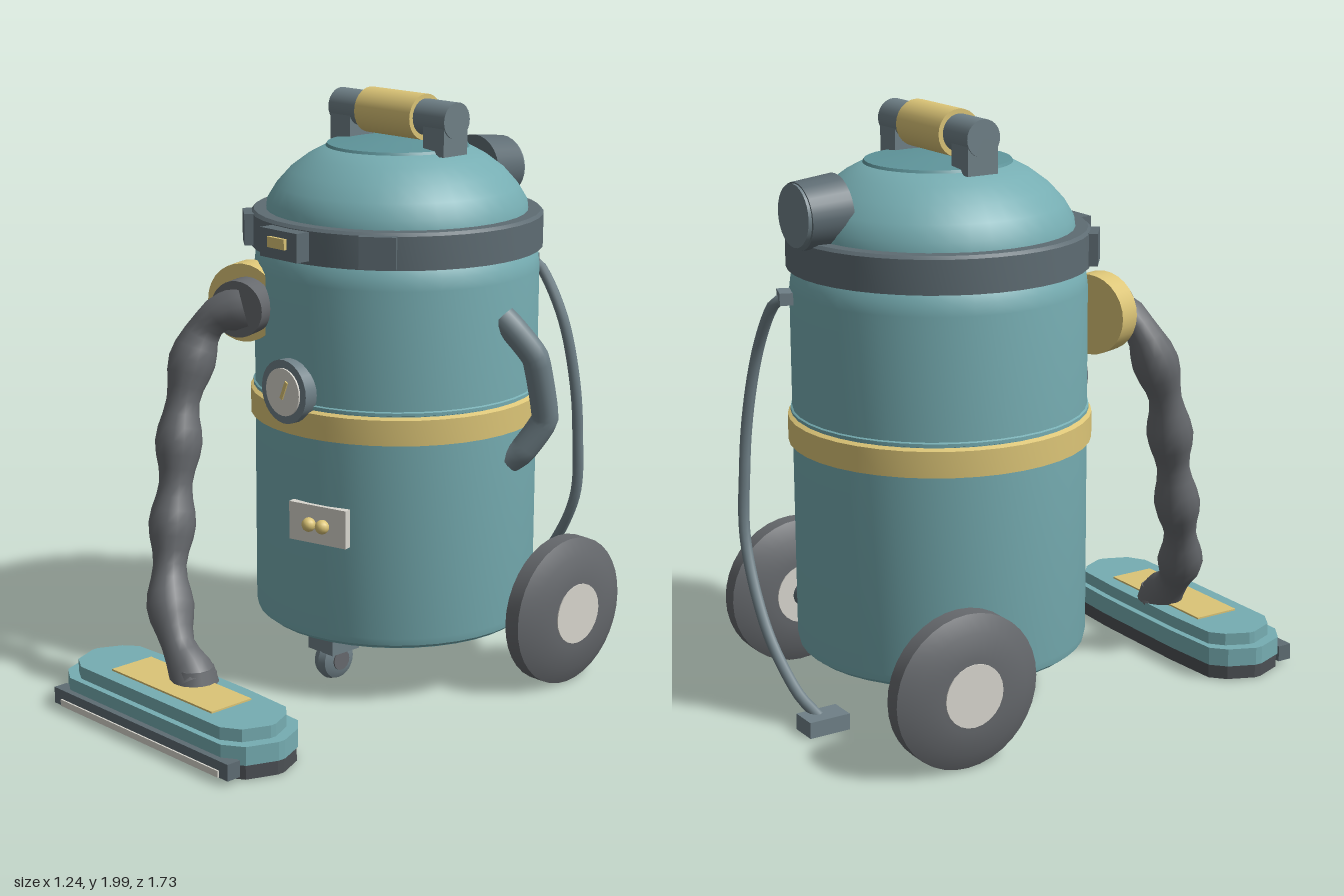
import * as THREE from 'three';
import { toCreasedNormals } from 'three/addons/utils/BufferGeometryUtils.js';

const mat = (color) => new THREE.MeshStandardMaterial({ color, side: THREE.DoubleSide });
const V = (x, y, z) => new THREE.Vector3(x, y, z);

export function createModel() {
  const model = new THREE.Group();
  const teal = mat(0x76adb2), deepTeal = mat(0x5f959b), gold = mat(0xdcc577), slate = mat(0x6f8087),
    rubber = mat(0x66696d), trim = mat(0x5e6c73), cream = mat(0xd8d6ce), dark = mat(0x4c5054);
  const CZ = -0.29; // z of the drum's axis

  const add = (name, geo, material, x = 0, y = 0, z = 0, parent = model) => {
    const m = new THREE.Mesh(geo, material);
    m.name = name;
    m.position.set(x, y, z);
    parent.add(m);
    return m;
  };
  const box = (name, w, h, d, material, x, y, z, parent) =>
    add(name, new THREE.BoxGeometry(w, h, d), material, x, y, z, parent);
  // Lathe from [radius, height] pairs listed bottom to top
  const lathe = (pts, seg = 40, crease = 0.5) => toCreasedNormals(
    new THREE.LatheGeometry(pts.map(([r, y]) => new THREE.Vector2(r, y)), seg), crease);
  const cylX = (r, len, seg = 24) => new THREE.CylinderGeometry(r, r, len, seg).rotateZ(Math.PI / 2);
  const cylZ = (r0, r1, len, seg = 28) => new THREE.CylinderGeometry(r1, r0, len, seg).rotateX(Math.PI / 2);
  const path = (pts, tension = 0.4) =>
    new THREE.CatmullRomCurve3(pts.map((p) => V(...p)), false, 'catmullrom', tension);
  const ball = (r) => new THREE.SphereGeometry(r, 14, 10);

  // Drum, belt, lid ring and dome
  add('drum', lathe([[0.455, 0.21], [0.475, 0.225], [0.48, 0.25], [0.48, 1.42], [0.475, 1.46], [0.46, 1.49]]), teal, 0, 0, CZ);
  add('drumBottom', new THREE.CylinderGeometry(0.456, 0.456, 0.01, 40), deepTeal, 0, 0.215, CZ);
  add('belt', lathe([[0.475, 0.91], [0.495, 0.915], [0.495, 1.0], [0.475, 1.01]]), gold, 0, 0, CZ);
  add('beltBead', lathe([[0.475, 1.008], [0.486, 1.012], [0.486, 1.022], [0.475, 1.028]]), teal, 0, 0, CZ);
  add('lidRing', lathe([[0.45, 1.49], [0.49, 1.49], [0.49, 1.6], [0.48, 1.61], [0.43, 1.61]]), trim, 0, 0, CZ);
  add('dome', lathe([[0.44, 1.6], [0.435, 1.64], [0.405, 1.69], [0.36, 1.74], [0.3, 1.785], [0.235, 1.82], [0, 1.83]], 40, 0.7), teal, 0, 0, CZ);
  add('domeCap', lathe([[0.24, 1.818], [0.235, 1.827], [0.1, 1.84], [0, 1.842]]), deepTeal, 0, 0, CZ);

  // Lid clips and front latch
  for (const s of [-1, 1]) {
    const a = s * 0.67;
    box('lidClip', 0.12, 0.105, 0.06, trim, Math.sin(a) * 0.485, 1.55, CZ + Math.cos(a) * 0.485).rotation.y = a;
  }
  box('frontLatch', 0.175, 0.095, 0.07, trim, 0, 1.55, 0.21);
  box('latchButton', 0.08, 0.035, 0.02, gold, 0, 1.557, 0.247);

  // Carrying handle
  const handle = new THREE.Group();
  handle.name = 'topHandle';
  model.add(handle);
  add('handleBar', cylX(0.06, 0.545), slate, 0, 1.925, CZ, handle);
  add('handleGrip', cylX(0.076, 0.26), gold, 0, 1.924, CZ, handle);
  for (const s of [-1, 1]) box('handlePost', 0.095, 0.11, 0.11, slate, s * 0.22, 1.865, CZ, handle);

  // Exhaust port at the back
  add('exhaustPort', cylZ(0.107, 0.117, 0.14), trim, 0, 1.695, -0.73).rotation.x = -0.04;
  add('exhaustCap', cylZ(0.1, 0.1, 0.02), slate, 0, 1.695, -0.802);

  // Hose inlet, turned slightly to one side
  const inlet = new THREE.Group();
  inlet.name = 'hoseInlet';
  inlet.position.set(-0.25, 1.315, 0.155);
  inlet.rotation.y = 0.35;
  model.add(inlet);
  add('inletFlange', cylZ(0.132, 0.132, 0.08), gold, 0, 0, 0, inlet);
  add('inletCollar', cylZ(0.095, 0.095, 0.1), rubber, 0.02, -0.005, 0.07, inlet);

  // Flexible hose: a tube whose radius swells and narrows
  const hoseCurve = path([[-0.2, 1.31, 0.22], [-0.25, 1.29, 0.28], [-0.305, 1.2, 0.325], [-0.305, 1.0, 0.4],
    [-0.275, 0.78, 0.455], [-0.25, 0.6, 0.5], [-0.19, 0.4, 0.565], [-0.1, 0.27, 0.61], [-0.02, 0.19, 0.62], [0, 0.16, 0.62]], 0.5);
  const segs = 30, sides = 14;
  const hose = new THREE.TubeGeometry(hoseCurve, segs, 1, sides);
  const hp = hose.attributes.position;
  for (let i = 0; i <= segs; i++) {
    const c = hoseCurve.getPointAt(i / segs);
    const r = 0.067 + 0.012 * Math.cos((i / segs) * Math.PI * 10);
    for (let j = 0; j <= sides; j++) {
      const k = i * (sides + 1) + j;
      const p = V(0, 0, 0).fromBufferAttribute(hp, k).sub(c).multiplyScalar(r).add(c);
      hp.setXYZ(k, p.x, p.y, p.z);
    }
  }
  hose.computeVertexNormals();
  add('hose', hose, rubber);
  add('hoseCuff', new THREE.CylinderGeometry(0.065, 0.08, 0.05, 16), rubber, 0, 0.185, 0.62);

  // Floor nozzle: stacked slabs with clipped ends
  const slab = (w, d, h) => {
    const q = [[0.78, 1], [0.92, 0.72], [1, 0.08], [1, -0.08], [0.92, -0.65], [0.82, -0.93], [0.4, -1]];
    const pts = [...q, ...q.slice().reverse().map(([x, y]) => [-x, y])];
    const s = new THREE.Shape(pts.map(([x, y]) => new THREE.Vector2(x * w, y * d)));
    return new THREE.ExtrudeGeometry(s, { depth: h, bevelEnabled: false }).rotateX(-Math.PI / 2);
  };
  const nozzle = new THREE.Group();
  nozzle.name = 'floorNozzle';
  nozzle.position.z = 0.68;
  nozzle.scale.z = -1;
  nozzle.scale.x = -1;
  model.add(nozzle);
  add('nozzleSole', slab(0.485, 0.155, 0.05), dark, 0, 0.01, 0, nozzle);
  add('nozzleBody', slab(0.49, 0.158, 0.062), teal, 0, 0.058, 0, nozzle);
  add('nozzleTop', slab(0.45, 0.135, 0.042), teal, 0, 0.12, 0, nozzle);
  box('nozzlePlate', 0.505, 0.012, 0.165, gold, 0, 0.162, 0.68);
  box('nozzleBumper', 0.88, 0.055, 0.05, trim, 0, 0.05, 0.835);
  box('bumperStrip', 0.8, 0.022, 0.01, cream, 0, 0.035, 0.861);

  // Pressure gauge
  add('gaugeRim', cylZ(0.107, 0.107, 0.06), slate, 0, 1.06, 0.195);
  add('gaugeFace', cylZ(0.08, 0.08, 0.01), cream, 0, 1.06, 0.226);
  box('gaugeNeedle', 0.013, 0.065, 0.008, gold, 0.01, 1.068, 0.232).rotation.z = -0.4;

  // Control panel with two knobs
  const panel = new THREE.Group();
  panel.name = 'controlPanel';
  panel.position.set(0.118, 0.625, 0.175);
  panel.rotation.y = 0.25;
  model.add(panel);
  box('panelPlate', 0.22, 0.13, 0.03, cream, 0, 0, 0, panel);
  for (const x of [-0.027, 0.025]) add('knob', ball(0.024), gold, x, 0, 0.025, panel);

  // Side grip
  const grip = path([[0.46, 1.3, -0.32], [0.495, 1.265, -0.335], [0.555, 1.17, -0.38], [0.557, 0.96, -0.43], [0.5, 0.845, -0.385], [0.46, 0.81, -0.365]], 0.2);
  add('sideGrip', new THREE.TubeGeometry(grip, 24, 0.045, 14), slate);

  // Rear wheels on a common axle
  const tyre = lathe([[0, -0.065], [0.12, -0.068], [0.2, -0.055], [0.255, -0.028], [0.255, 0.028], [0.2, 0.055], [0.12, 0.068], [0, 0.065]], 36, 0.4).rotateZ(-Math.PI / 2);
  add('axle', cylX(0.045, 1.06), trim, 0, 0.265, -0.55);
  for (const s of [-1, 1]) {
    add('rearWheel', tyre, rubber, s * 0.55, 0.265, -0.55);
    add('wheelHub', cylX(0.104, 0.142), cream, s * 0.55, 0.265, -0.55);
  }

  // Front caster
  box('casterFork', 0.12, 0.1, 0.125, slate, 0, 0.165, 0);
  add('casterWheel', lathe([[0, -0.035], [0.045, -0.035], [0.066, -0.025], [0.074, 0], [0.066, 0.025], [0.045, 0.035], [0, 0.035]], 24).rotateZ(-Math.PI / 2), slate, 0, 0.08, 0);
  add('casterHub', cylX(0.035, 0.08, 16), rubber, 0, 0.08, 0);

  // Power cord, its outlet and plug
  const cord = path([[0.17, 1.4, -0.75], [0.22, 1.36, -0.78], [0.31, 1.2, -0.79], [0.35, 1.0, -0.81], [0.36, 0.8, -0.825],
    [0.34, 0.55, -0.84], [0.2, 0.3, -0.848], [0.04, 0.13, -0.83], [-0.05, 0.05, -0.79]], 0.5);
  add('powerCord', new THREE.TubeGeometry(cord, 48, 0.019, 8), slate);
  box('cordOutlet', 0.08, 0.04, 0.06, slate, 0.17, 1.4, -0.75).rotation.y = -0.35;
  box('plug', 0.095, 0.055, 0.145, slate, -0.06, 0.035, -0.78);

  return model;
}
